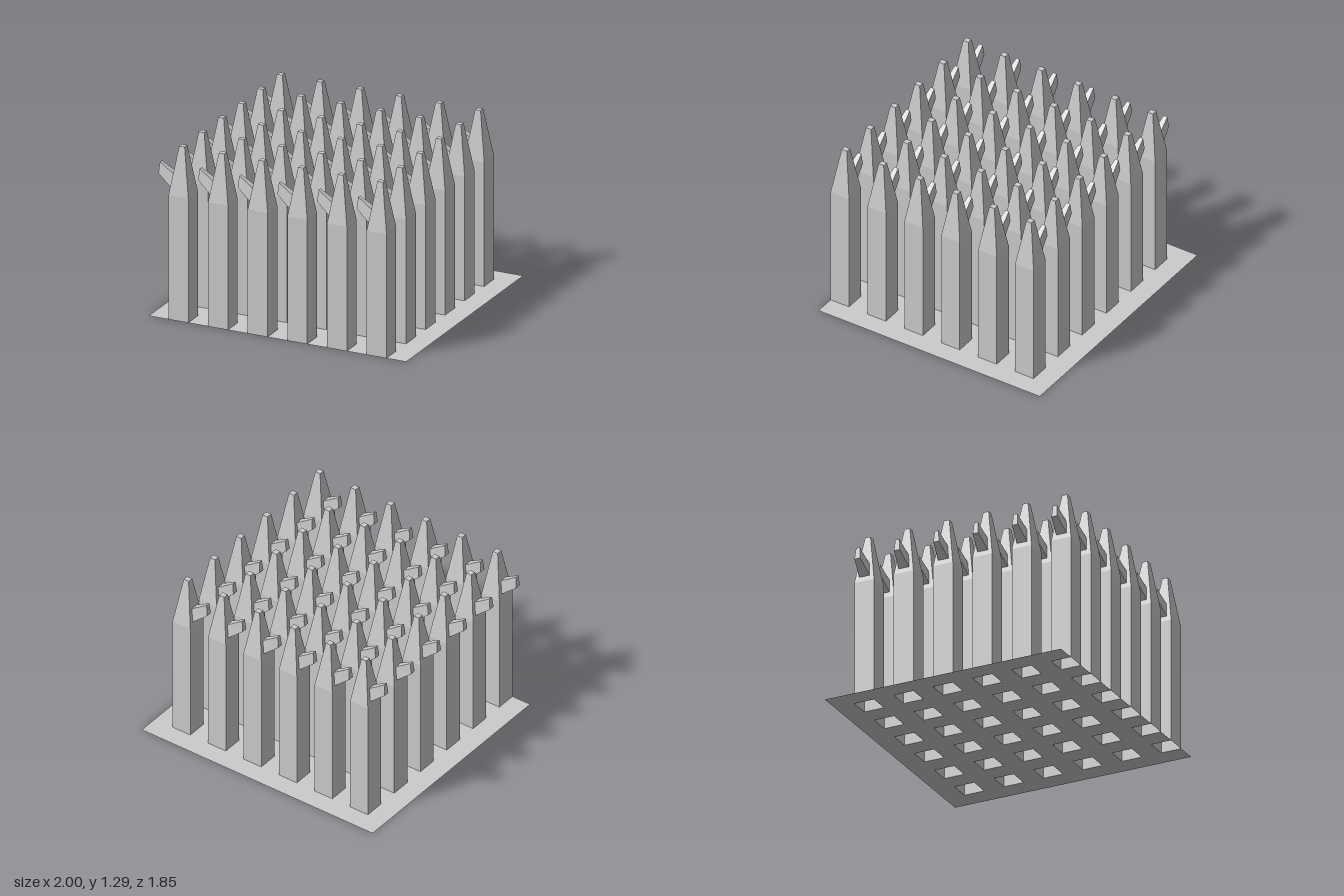
import * as THREE from 'three';

const COUNT = 6, PITCH = 0.308, HALF = 0.077;
const FIRST_X = -0.77, FIRST_Z = -0.694;
const PLATE_X = 1, PLATE_Z = 0.923;

// Skin four-cornered cross-sections into an open-bottomed, end-capped shell.
function loft(sections) {
  const pos = [];
  const quad = (a, b, c, d) => pos.push(...a, ...b, ...c, ...a, ...c, ...d);
  for (let s = 0; s < sections.length - 1; s++) {
    const lo = sections[s], hi = sections[s + 1];
    for (let i = 0; i < 4; i++) {
      const j = (i + 1) % 4;
      quad(lo[i], lo[j], hi[j], hi[i]);
    }
  }
  quad(...sections[sections.length - 1]);
  const geo = new THREE.BufferGeometry();
  geo.setAttribute('position', new THREE.Float32BufferAttribute(pos, 3));
  geo.computeVertexNormals();
  return geo;
}

// Horizontal square section of a pillar
const square = (h, y) => [[-h, y, h], [h, y, h], [h, y, -h], [-h, y, -h]];

// Upright trapezoid section of a branch, facing -x
const trapezoid = (xLow, yLow, wLow, xHigh, yHigh, wHigh) => [
  [xLow, yLow, -wLow], [xLow, yLow, wLow], [xHigh, yHigh, wHigh], [xHigh, yHigh, -wHigh],
];

// Thin ground sheet, open under every pillar; the front row notches its edge
function plateGeometry() {
  const shape = new THREE.Shape();
  shape.moveTo(-PLATE_X, -PLATE_Z);
  for (let i = 0; i < COUNT; i++) {
    const x = FIRST_X + i * PITCH, inner = -PLATE_Z + 2 * HALF;
    shape.lineTo(x - HALF, -PLATE_Z);
    shape.lineTo(x - HALF, inner);
    shape.lineTo(x + HALF, inner);
    shape.lineTo(x + HALF, -PLATE_Z);
  }
  shape.lineTo(PLATE_X, -PLATE_Z);
  shape.lineTo(PLATE_X, PLATE_Z);
  shape.lineTo(-PLATE_X, PLATE_Z);
  for (let r = 0; r < COUNT - 1; r++) {
    for (let i = 0; i < COUNT; i++) {
      const x = FIRST_X + i * PITCH, y = -(FIRST_Z + r * PITCH);
      shape.holes.push(new THREE.Path([
        new THREE.Vector2(x - HALF, y - HALF), new THREE.Vector2(x - HALF, y + HALF),
        new THREE.Vector2(x + HALF, y + HALF), new THREE.Vector2(x + HALF, y - HALF),
      ]));
    }
  }
  return new THREE.ShapeGeometry(shape).rotateX(-Math.PI / 2);
}

export function createModel() {
  const model = new THREE.Group();
  model.name = 'spikeField';
  const material = new THREE.MeshStandardMaterial({
    color: 0xcccccc, flatShading: true, side: THREE.DoubleSide,
  });
  const add = (parent, geometry, name) => {
    const mesh = new THREE.Mesh(geometry, material);
    mesh.name = name;
    parent.add(mesh);
  };

  add(model, plateGeometry(), 'groundPlate');

  // Straight shaft with a tapered, blunt tip
  const pillar = loft([square(HALF, 0), square(HALF, 0.928), square(0.021, 1.286)]);
  // Side branch growing out of the taper, rising towards -x
  const branch = loft([
    trapezoid(-0.071, 0.965, 0.04, -0.055, 1.067, 0.029),
    trapezoid(-0.182, 1.056, 0.022, -0.173, 1.142, 0.015),
  ]);

  for (let r = 0; r < COUNT; r++) {
    for (let i = 0; i < COUNT; i++) {
      const spike = new THREE.Group();
      spike.name = `spike_${r + 1}_${i + 1}`;
      spike.position.set(FIRST_X + i * PITCH, 0, FIRST_Z + r * PITCH);
      add(spike, pillar, 'pillar');
      add(spike, branch, 'branch');
      model.add(spike);
    }
  }
  return model;
}
